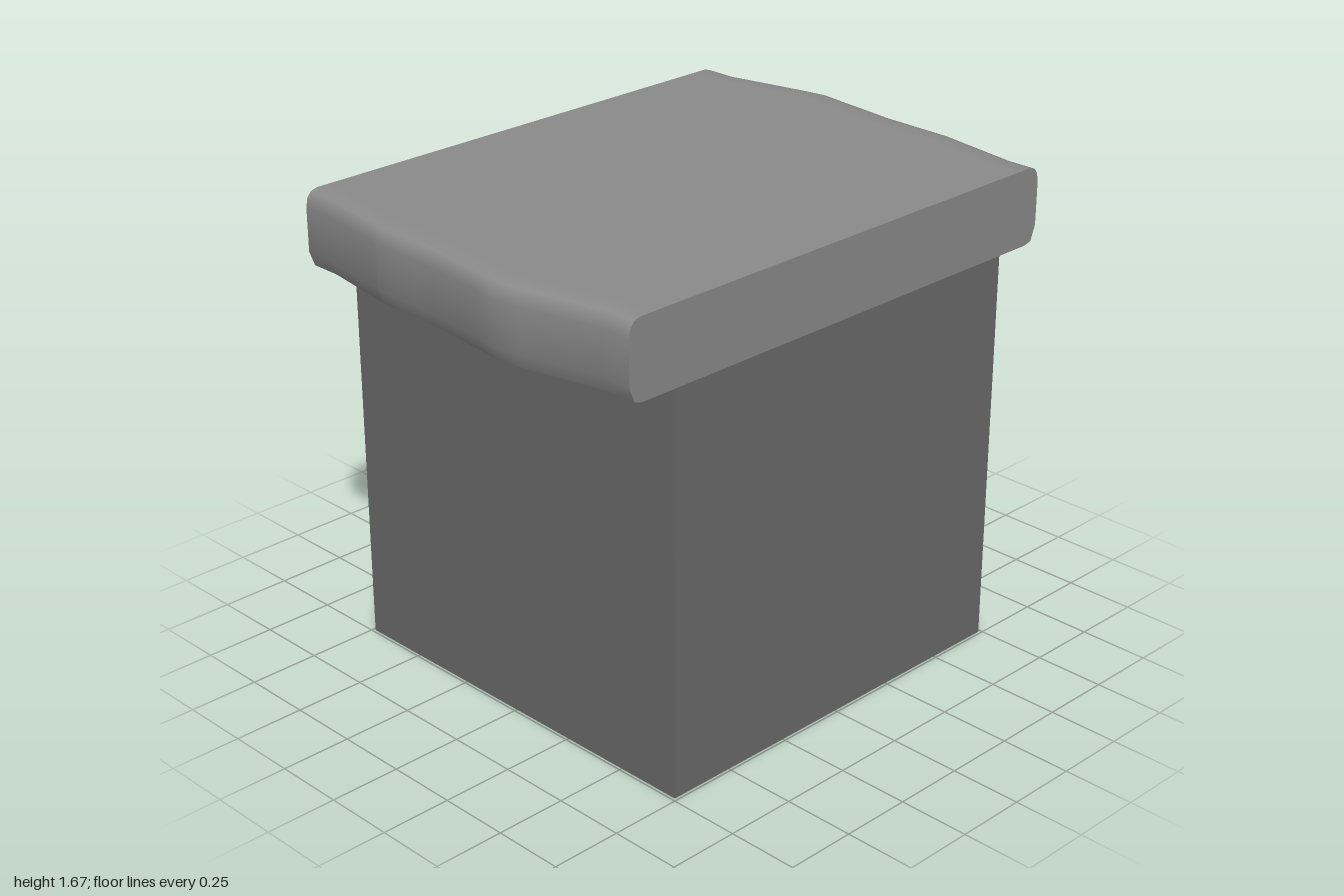
import * as THREE from 'three';
import { toCreasedNormals } from 'three/addons/utils/BufferGeometryUtils.js';

// Wavy outline of the slab's +x edge as [z, x]; the other edge is the same turned half round
const EDGE = [[-0.74, 0.92], [-0.63, 0.92], [-0.34, 0.985], [-0.25, 1.0], [-0.16, 0.99],
  [0.07, 0.967], [0.33, 0.965], [0.63, 0.92], [0.74, 0.92]];
// Edge section from bottom to top as [inset, y]
const SECTION = [[0.05, 1.4], [0.02, 1.408], [0, 1.46], [0, 1.61], [0.006, 1.64], [0.02, 1.659],
  [0.045, 1.667], [0.1, 1.667]];

function edgeX(z) {
  const i = Math.max(1, EDGE.findIndex((p) => p[0] >= z));
  const [z0, x0] = EDGE[i - 1], [z1, x1] = EDGE[i];
  return x0 + (x1 - x0) * (z - z0) / (z1 - z0);
}

// Loft of closed rings running from back to front, with flat end caps
function slabGeometry() {
  const stations = [...new Set(EDGE.flatMap(([z]) => [z, -z]))].sort((a, b) => a - b);
  const positions = [], index = [];
  const n = SECTION.length * 2;
  for (const z of stations) {
    for (const [inset, y] of SECTION) positions.push(edgeX(z) - inset, y, z);
    for (const [inset, y] of [...SECTION].reverse()) positions.push(inset - edgeX(-z), y, z);
  }
  const last = stations.length - 1;
  for (let k = 0; k < last; k++) {
    for (let i = 0; i < n; i++) {
      const j = (i + 1) % n;
      const a = k * n + i, b = k * n + j, c = b + n, d = a + n;
      index.push(a, b, c, a, c, d);
    }
  }
  for (let i = 1; i < n - 1; i++) {
    index.push(0, i + 1, i, last * n, last * n + i, last * n + i + 1);
  }
  const geometry = new THREE.BufferGeometry();
  geometry.setAttribute('position', new THREE.Float32BufferAttribute(positions, 3));
  geometry.setIndex(index);
  return toCreasedNormals(geometry, 0.75);
}

export function createModel() {
  const group = new THREE.Group();

  // Square block in dark grey
  const base = new THREE.Mesh(
    new THREE.BoxGeometry(1.48, 1.4, 1.48),
    new THREE.MeshStandardMaterial({ color: 0x6b6b6b }),
  );
  base.name = 'base';
  base.position.y = 0.7;

  // Overhanging lighter top with worn, rounded sides
  const slab = new THREE.Mesh(slabGeometry(), new THREE.MeshStandardMaterial({ color: 0x8b8b8b }));
  slab.name = 'topSlab';

  group.add(base, slab);
  return group;
}
